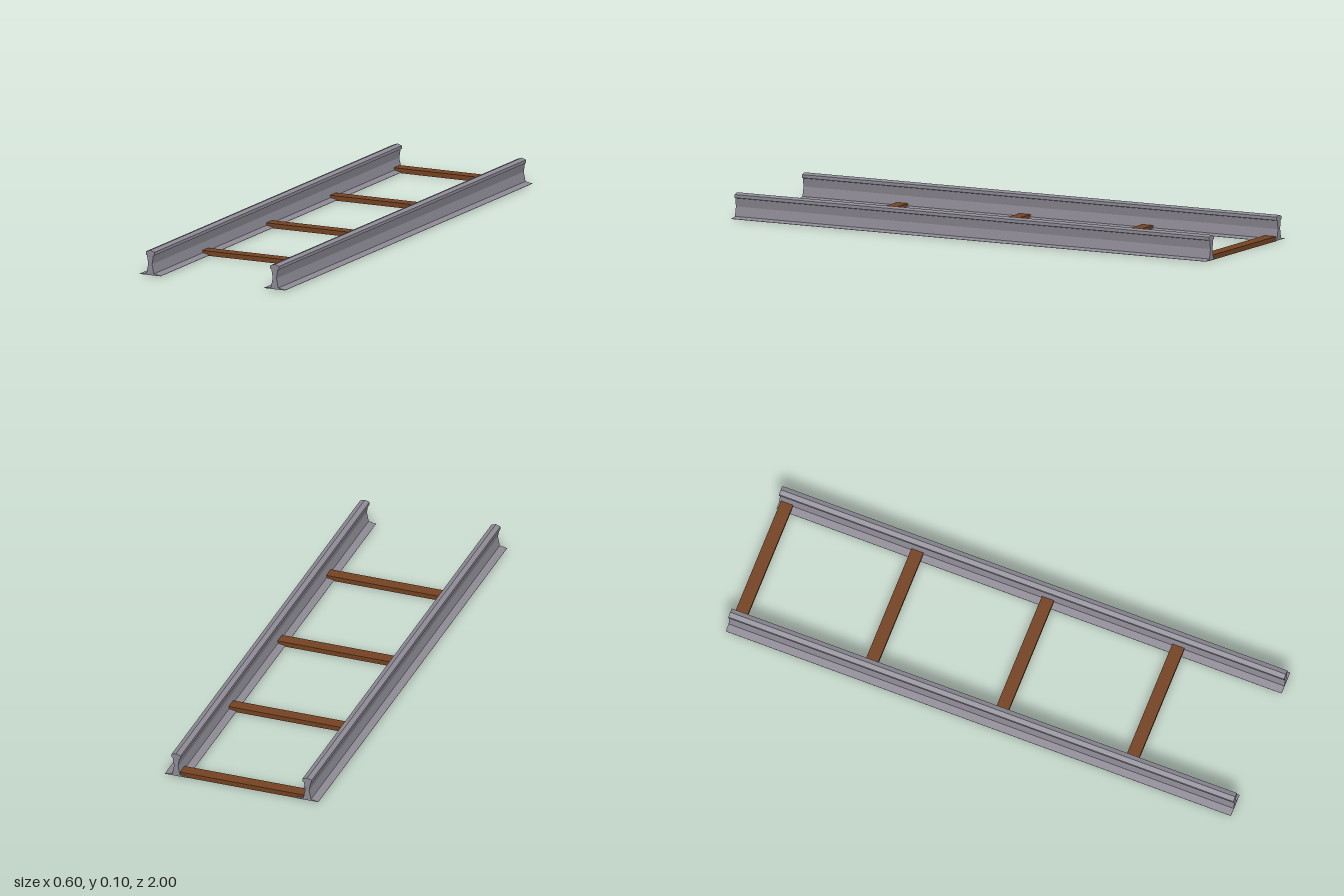
import * as THREE from 'three';

const steel = new THREE.MeshStandardMaterial({ name: 'steel grey', color: 0x8c8993 });
const wood = new THREE.MeshStandardMaterial({ name: 'wood brown', color: 0x744222 });

// Right half of the rail section, from foot to crown: [half width, height]
const HALF = [
  [0.044, 0.003], [0.044, 0.004], [0.015, 0.009], [0.008, 0.045],
  [0.013, 0.077], [0.018, 0.079], [0.018, 0.091],
];

function railGeometry() {
  const right = HALF.map(([x, y]) => new THREE.Vector2(x, y));
  const left = HALF.map(([x, y]) => new THREE.Vector2(-x, y)).reverse();
  const section = new THREE.Shape([...right, new THREE.Vector2(0, 0.097), ...left]);
  return new THREE.ExtrudeGeometry(section, { depth: 2, bevelEnabled: false }).translate(0, 0, -1);
}

export function createModel() {
  const model = new THREE.Group();
  model.name = 'railTrack';

  // Two steel rails
  const rail = railGeometry();
  for (const side of [-1, 1]) {
    const mesh = new THREE.Mesh(rail, steel);
    mesh.name = side > 0 ? 'leftRail' : 'rightRail';
    mesh.position.x = side * 0.258;
    model.add(mesh);
  }

  // Four wooden sleepers, evenly spaced from the back end
  const sleeper = new THREE.BoxGeometry(0.517, 0.018, 0.048);
  for (let i = 0; i < 4; i++) {
    const mesh = new THREE.Mesh(sleeper, wood);
    mesh.name = 'sleeper' + (i + 1);
    mesh.position.set(0.0065, 0.009, -0.97 + i * 0.5165);
    model.add(mesh);
  }
  return model;
}
